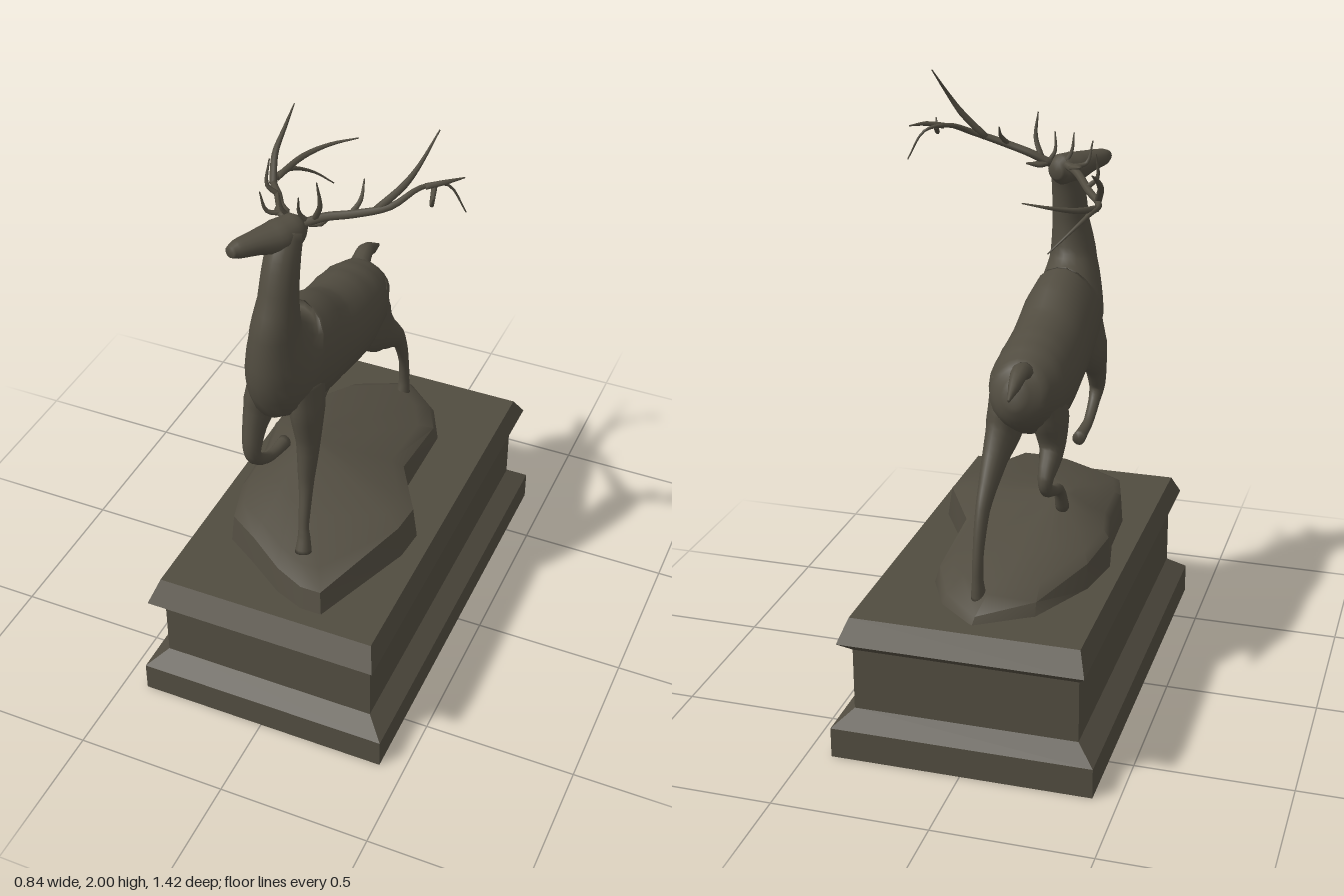
import * as THREE from 'three';
import { toCreasedNormals } from 'three/addons/utils/BufferGeometryUtils.js';

const bronze = new THREE.MeshStandardMaterial({ color: 0x514c40 });
bronze.name = 'bronze';

// Closed skin over equal-sized rings of points, capped at both ends
function skin(rings) {
  const n = rings[0].length, pos = [], idx = [];
  const mid = (r) => r.reduce((s, p) => s.add(p), new THREE.Vector3()).divideScalar(n);
  rings.forEach((r) => r.forEach((p) => pos.push(p.x, p.y, p.z)));
  const first = mid(rings[0]), last = mid(rings[rings.length - 1]);
  pos.push(first.x, first.y, first.z, last.x, last.y, last.z);
  const s = rings.length * n, e = (rings.length - 1) * n;
  for (let j = 0; j < n; j++) {
    const k = (j + 1) % n;
    for (let i = 0; i < rings.length - 1; i++) {
      const a = i * n + j, b = i * n + k;
      idx.push(a, b, a + n, b, b + n, a + n);
    }
    idx.push(s, k, j, s + 1, e + j, e + k);
  }
  const g = new THREE.BufferGeometry();
  g.setAttribute('position', new THREE.Float32BufferAttribute(pos, 3));
  g.setIndex(idx);
  g.computeVertexNormals();
  return g;
}

// Elliptical sweep through points [x, y, z, halfWidth, halfHeight]
function sweep(pts, sides = 14, sub = 4, ref = new THREE.Vector3(1, 0, 0)) {
  const curve = new THREE.CatmullRomCurve3(pts.map((p) => new THREE.Vector3(p[0], p[1], p[2])));
  const steps = (pts.length - 1) * sub, rings = [];
  const side = ref.clone();
  for (let i = 0; i <= steps; i++) {
    const u = i / steps, c = curve.getPoint(u), t = curve.getTangent(u);
    side.addScaledVector(t, -side.dot(t)).normalize();
    const up = new THREE.Vector3().crossVectors(t, side);
    const k = Math.min(Math.floor(i / sub), pts.length - 2), f = i / sub - k;
    const rw = THREE.MathUtils.lerp(pts[k][3], pts[k + 1][3], f);
    const rh = THREE.MathUtils.lerp(pts[k][4] ?? pts[k][3], pts[k + 1][4] ?? pts[k + 1][3], f);
    rings.push(Array.from({ length: sides }, (_, j) => {
      const a = (j / sides) * Math.PI * 2;
      return c.clone().addScaledVector(side, Math.cos(a) * rw).addScaledVector(up, Math.sin(a) * rh);
    }));
  }
  return skin(rings);
}

export function createModel() {
  const model = new THREE.Group();
  const add = (name, geometry, parent = model) => {
    const m = new THREE.Mesh(geometry, bronze);
    m.name = name;
    parent.add(m);
    return m;
  };

  // Moulded plinth: [halfX, halfZ, y]
  const plinth = [
    [0.42, 0.71, 0], [0.42, 0.71, 0.1], [0.36, 0.65, 0.15], [0.36, 0.65, 0.355],
    [0.39, 0.71, 0.4], [0.365, 0.66, 0.47],
  ].map(([x, z, y]) => [[x, z], [x, -z], [-x, -z], [-x, z]].map(([a, b]) => new THREE.Vector3(a, y, b)));
  add('plinth', toCreasedNormals(skin(plinth), 0.1));

  // Rock: outline [x, z, rim height], rising to a peak
  const outline = [
    [0.31, 0.14, 0.575], [0.19, -0.07, 0.56], [0.19, -0.36, 0.52], [0.12, -0.5, 0.5],
    [-0.01, -0.61, 0.49], [-0.18, -0.5, 0.51], [-0.29, -0.27, 0.55], [-0.32, -0.1, 0.57],
    [-0.29, 0.05, 0.57], [-0.28, 0.25, 0.57], [-0.24, 0.4, 0.56], [-0.13, 0.47, 0.56],
    [0, 0.56, 0.55], [0.1, 0.6, 0.54], [0.17, 0.6, 0.54], [0.3, 0.25, 0.575],
  ];
  const peak = [-0.14, 0.02, 0.655];
  const rockRing = (inset, lift) => outline.map(([x, z, y]) => new THREE.Vector3(
    THREE.MathUtils.lerp(x, peak[0], inset),
    lift < 0 ? 0.465 : THREE.MathUtils.lerp(y, peak[2], lift),
    THREE.MathUtils.lerp(z, peak[1], inset)));
  add('rock', toCreasedNormals(skin([
    rockRing(0, -1), rockRing(0.04, 0), rockRing(0.16, 0.25), rockRing(0.5, 0.5), rockRing(0.85, 0.97),
  ]), 0.7));

  const stag = new THREE.Group();
  stag.name = 'stag';
  model.add(stag);

  // Torso flowing up into the neck
  add('bodyAndNeck', sweep([
    [-0.07, 1.125, -0.345, 0.03, 0.04], [-0.07, 1.11, -0.3, 0.09, 0.1], [-0.07, 1.095, -0.21, 0.122, 0.143],
    [-0.07, 1.093, -0.1, 0.13, 0.165], [-0.068, 1.12, 0.05, 0.128, 0.163], [-0.066, 1.165, 0.19, 0.125, 0.185],
    [-0.065, 1.215, 0.325, 0.115, 0.185], [-0.06, 1.35, 0.395, 0.078, 0.105], [-0.052, 1.48, 0.387, 0.06, 0.073],
    [-0.05, 1.6, 0.358, 0.054, 0.06], [-0.045, 1.68, 0.32, 0.045, 0.045],
  ], 22), stag);

  // Head, turned towards the right
  add('head', sweep([
    [-0.03, 1.67, 0.265, 0.025, 0.025], [-0.04, 1.67, 0.295, 0.048, 0.05], [-0.068, 1.668, 0.35, 0.056, 0.05],
    [-0.105, 1.675, 0.415, 0.04, 0.036], [-0.137, 1.678, 0.47, 0.029, 0.028], [-0.147, 1.68, 0.495, 0.018, 0.017],
  ], 16), stag);

  // Ears
  add('leftEar', sweep([[0, 1.69, 0.285, 0.012, 0.008], [0.025, 1.69, 0.26, 0.024, 0.01],
    [0.055, 1.7, 0.225, 0.003, 0.003]], 8), stag);
  add('rightEar', sweep([[-0.075, 1.69, 0.28, 0.012, 0.008], [-0.1, 1.69, 0.25, 0.024, 0.01],
    [-0.125, 1.7, 0.21, 0.003, 0.003]], 8), stag);

  // Tail
  add('tail', sweep([[-0.08, 1.18, -0.28, 0.035, 0.03], [-0.085, 1.195, -0.34, 0.028, 0.024],
    [-0.085, 1.175, -0.39, 0.02, 0.022], [-0.085, 1.15, -0.455, 0.004, 0.006]], 10), stag);

  // Legs, shoulder or hip down to hoof
  const legs = {
    leftForeleg: [
      [0, 1.16, 0.31, 0.045, 0.1], [0.012, 1.05, 0.335, 0.048, 0.085], [0.022, 0.94, 0.355, 0.036, 0.05],
      [0.027, 0.81, 0.385, 0.024, 0.032], [0.033, 0.76, 0.405, 0.02, 0.025], [0.043, 0.665, 0.445, 0.016, 0.018],
      [0.048, 0.63, 0.455, 0.02, 0.022], [0.052, 0.585, 0.47, 0.026, 0.03]],
    rightForeleg: [
      [-0.13, 1.16, 0.31, 0.045, 0.1], [-0.14, 1.05, 0.345, 0.05, 0.085], [-0.145, 0.97, 0.39, 0.036, 0.05],
      [-0.143, 0.89, 0.415, 0.027, 0.03], [-0.14, 0.845, 0.39, 0.02, 0.022], [-0.138, 0.795, 0.32, 0.017, 0.018],
      [-0.135, 0.782, 0.27, 0.019, 0.018], [-0.133, 0.775, 0.205, 0.022, 0.024]],
    leftHindLeg: [
      [-0.02, 1.13, -0.2, 0.06, 0.1], [-0.01, 0.99, -0.235, 0.058, 0.1], [0, 0.905, -0.315, 0.04, 0.06],
      [0, 0.835, -0.4, 0.028, 0.042], [0, 0.78, -0.45, 0.022, 0.032], [0, 0.66, -0.497, 0.017, 0.021],
      [0, 0.57, -0.505, 0.018, 0.021], [0, 0.51, -0.497, 0.024, 0.032]],
    rightHindLeg: [
      [-0.12, 1.13, -0.2, 0.06, 0.1], [-0.14, 0.99, -0.18, 0.055, 0.09], [-0.15, 0.9, -0.2, 0.038, 0.048],
      [-0.15, 0.835, -0.27, 0.025, 0.03], [-0.15, 0.8, -0.272, 0.02, 0.024], [-0.15, 0.755, -0.19, 0.017, 0.018],
      [-0.15, 0.725, -0.11, 0.018, 0.018], [-0.15, 0.645, -0.065, 0.022, 0.026]],
  };
  for (const [name, pts] of Object.entries(legs)) add(name, sweep(pts, 14), stag);

  // Antlers: each branch is [root radius, points...] tapering to a tip
  const antlers = {
    leftAntler: [
      [0.014, [-0.01, 1.69, 0.285], [0.05, 1.72, 0.275], [0.14, 1.75, 0.27], [0.24, 1.785, 0.245],
        [0.3, 1.82, 0.17], [0.36, 1.81, 0.11], [0.41, 1.72, 0.09]],
      [0.012, [0.2, 1.77, 0.255], [0.27, 1.85, 0.225], [0.305, 1.91, 0.2], [0.34, 2, 0.14]],
      [0.01, [0.31, 1.82, 0.16], [0.36, 1.83, 0.13], [0.4, 1.83, 0.085]],
      [0.009, [0.33, 1.82, 0.14], [0.345, 1.79, 0.2], [0.36, 1.83, 0.23]],
      [0.01, [0.02, 1.71, 0.28], [0.045, 1.77, 0.3], [0.04, 1.85, 0.31]],
      [0.008, [-0.005, 1.7, 0.285], [-0.02, 1.73, 0.3], [-0.015, 1.79, 0.315]],
      [0.009, [0.13, 1.75, 0.27], [0.145, 1.78, 0.24], [0.135, 1.82, 0.19]],
    ],
    rightAntler: [
      [0.014, [-0.06, 1.69, 0.285], [-0.11, 1.68, 0.23], [-0.175, 1.655, 0.12], [-0.235, 1.635, 0.02],
        [-0.225, 1.625, -0.07], [-0.18, 1.58, -0.15], [-0.13, 1.53, -0.19]],
      [0.012, [-0.225, 1.64, 0.05], [-0.25, 1.7, -0.02], [-0.255, 1.745, -0.1], [-0.265, 1.78, -0.195]],
      [0.011, [-0.235, 1.63, 0], [-0.2, 1.65, -0.12], [-0.14, 1.67, -0.185], [-0.06, 1.69, -0.225]],
      [0.009, [-0.09, 1.69, 0.26], [-0.13, 1.7, 0.285], [-0.145, 1.77, 0.3]],
      [0.008, [-0.06, 1.7, 0.285], [-0.075, 1.73, 0.3], [-0.08, 1.79, 0.31]],
      [0.009, [-0.17, 1.66, 0.13], [-0.2, 1.69, 0.14], [-0.2, 1.77, 0.12]],
    ],
  };
  for (const [name, branches] of Object.entries(antlers)) {
    const antler = new THREE.Group();
    antler.name = name;
    stag.add(antler);
    branches.forEach(([r, ...pts], b) => {
      const tapered = pts.map((p, i) => [...p, Math.max(0.002, r * (1 - (i / (pts.length - 1)) ** 2))]);
      add(b ? 'tine' : 'mainBeam', sweep(tapered, 7, 4, new THREE.Vector3(0.35, 0.3, 0.88)), antler);
    });
  }
  return model;
}
